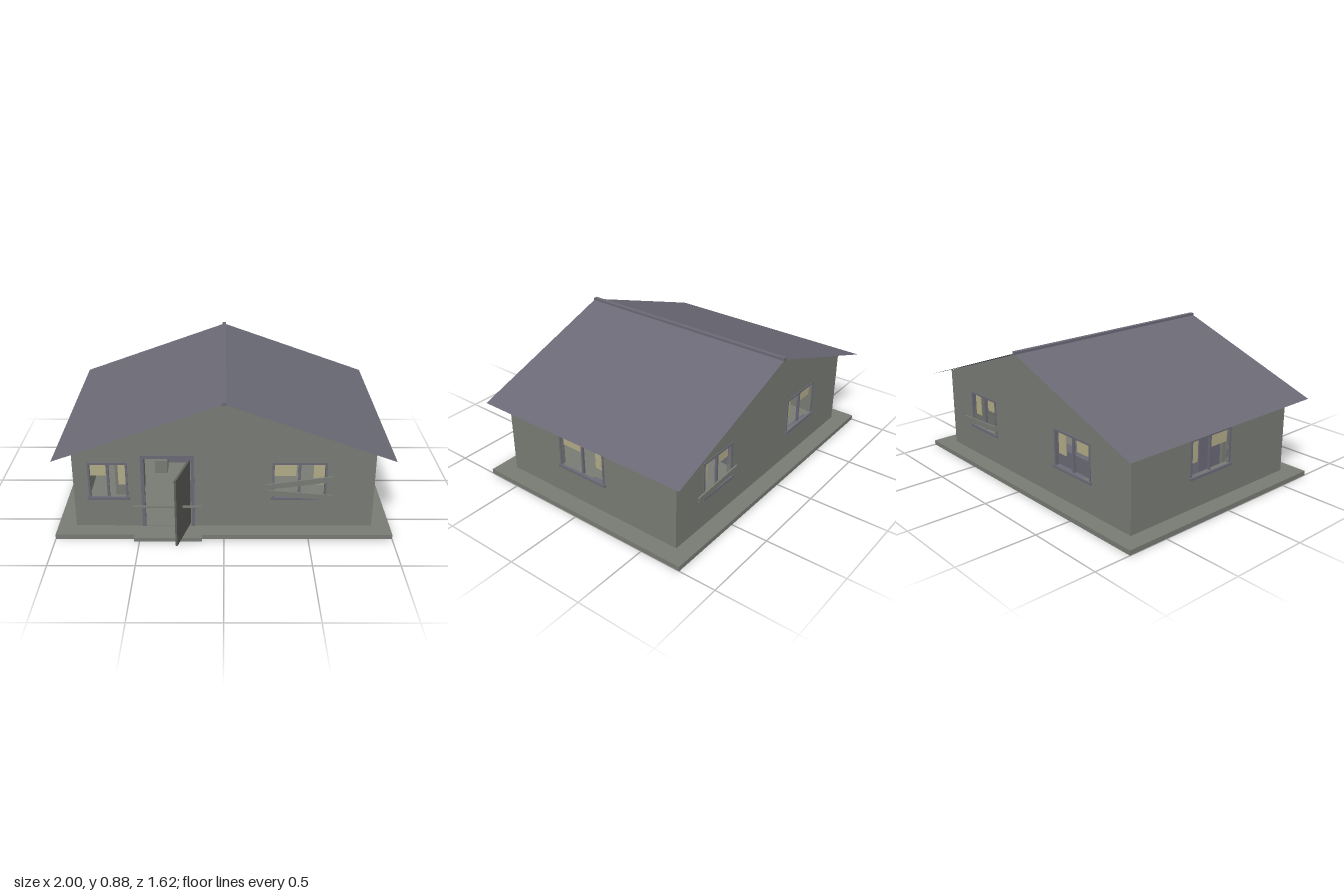
import * as THREE from 'three';

const mat = (name, color, side = THREE.FrontSide) => {
  const m = new THREE.MeshStandardMaterial({ color, side });
  m.name = name;
  return m;
};

export function createModel() {
  const model = new THREE.Group();
  model.name = 'house';
  const wall = mat('grey plaster', 0x777b73);
  const slate = mat('slate blue', 0x6a6975, THREE.DoubleSide);
  const tan = mat('faded tan', 0xb0aa86);
  const dark = mat('dark door grey', 0x5c5e58);

  const add = (name, geo, m, parent = model) => {
    const mesh = new THREE.Mesh(geo, m);
    mesh.name = name;
    parent.add(mesh);
    return mesh;
  };
  // box given by its minimum and maximum on each axis
  const box = (name, m, x0, x1, y0, y1, z0, z1, parent = model) => {
    const b = add(name, new THREE.BoxGeometry(x1 - x0, y1 - y0, z1 - z0), m, parent);
    b.position.set((x0 + x1) / 2, (y0 + y1) / 2, (z0 + z1) / 2);
    return b;
  };

  const HX = 0.89, FRONT = 0.62, BACK = -0.66, MID = -0.02, T = 0.025;
  const FLOOR = 0.03, EAVE = 0.544, SILL = 0.23, HEAD = 0.445;

  // foundation and doorstep
  box('foundation', wall, -1, 1, 0, FLOOR, -0.765, 0.725);
  box('doorstep', wall, -0.53, -0.13, 0.01, FLOOR + 0.003, 0.64, 0.765);

  // wall with rectangular openings, drawn facing +z in its own group
  const wallPanel = (name, half, apex, holes, x, z, turn) => {
    const g = new THREE.Group();
    g.name = name;
    g.position.set(x, 0, z);
    g.rotation.y = turn;
    const s = new THREE.Shape();
    s.moveTo(-half, FLOOR).lineTo(half, FLOOR).lineTo(half, EAVE);
    if (apex) s.lineTo(0, apex);
    s.lineTo(-half, EAVE);
    s.closePath();
    for (const [a, b, c, d] of holes) {
      const h = new THREE.Path();
      h.moveTo(a, c).lineTo(a, d).lineTo(b, d).lineTo(b, c);
      h.closePath();
      s.holes.push(h);
    }
    const geo = new THREE.ExtrudeGeometry(s, { depth: T, bevelEnabled: false });
    geo.translate(0, 0, -T);
    add(name + 'Panel', geo, wall, g);
    model.add(g);
    return g;
  };

  // framed window with a mullion, sill and two torn blinds
  const addWindow = (parent, x0, x1, wideLeft) => {
    const g = new THREE.Group();
    g.name = 'window';
    parent.add(g);
    const f = 0.012, w = x1 - x0, c = (x0 + x1) / 2, zb = -T, zf = 0.005;
    box('frameLeft', slate, x0 - f, x0, SILL, HEAD + f, zb, zf, g);
    box('frameRight', slate, x1, x1 + f, SILL, HEAD + f, zb, zf, g);
    box('frameTop', slate, x0, x1, HEAD, HEAD + f, zb, zf, g);
    box('mullion', slate, c - 0.007, c + 0.007, SILL, HEAD, -0.018, -0.004, g);
    box('sill', slate, x0 - 0.02, x1 + 0.02, 0.215, SILL, zb, 0.013, g);
    const blind = (a, b, y) => {
      const l = wideLeft ? x0 + a * w : x1 - b * w;
      box('blind', tan, l, l + (b - a) * w, y, HEAD, -0.026, -0.02, g);
    };
    blind(0, 0.44, 0.36);
    blind(0.78, 1, 0.3);
  };

  const windowWall = (name, half, apex, wins, extra, x, z, turn, wideLeft) => {
    const holes = wins.map(([a, b]) => [a, b, SILL, HEAD]).concat(extra);
    const g = wallPanel(name, half, apex, holes, x, z, turn);
    wins.forEach(([a, b]) => addWindow(g, a, b, wideLeft));
    return g;
  };

  // four walls; the side walls fit between the gable walls
  const APEX = 0.861, sideHalf = (FRONT - BACK) / 2 - T;
  const front = windowWall('frontWall', HX, APEX, [[-0.79, -0.58], [0.297, 0.595]],
    [[-0.47, -0.195, FLOOR + 0.001, 0.485]], 0, FRONT, 0, true);
  const back = windowWall('backWall', HX, APEX, [[-0.633, -0.379], [0.25, 0.55]],
    [], 0, BACK, Math.PI, false);
  windowWall('leftWall', sideHalf, 0, [[-0.215, 0.11]], [], HX, MID, Math.PI / 2, true);
  windowWall('rightWall', sideHalf, 0, [[-0.18, 0.13]], [], -HX, MID, -Math.PI / 2, false);

  // door frame and the half-open door
  box('doorFrameSide', slate, -0.49, -0.47, FLOOR, 0.505, -T, 0.008, front);
  box('doorFrameSide', slate, -0.195, -0.175, FLOOR, 0.505, -T, 0.008, front);
  box('doorFrameTop', slate, -0.47, -0.195, 0.485, 0.505, -T, 0.008, front);
  const hinge = new THREE.Group();
  hinge.name = 'door';
  hinge.position.set(-0.2, 0, -T);
  hinge.rotation.y = 1.31;
  front.add(hinge);
  box('doorLeaf', dark, -0.265, 0, FLOOR + 0.004, 0.46, -0.012, 0, hinge);

  // bar across the doorway
  box('doorBar', wall, -0.53, -0.13, 0.229, 0.24, 0.74, 0.75);

  // planks nailed over two windows
  const plank = (parent, x, y, length, tilt, z) => {
    const p = add('plank', new THREE.BoxGeometry(length, 0.034, 0.01), wall, parent);
    p.position.set(x, y, z);
    p.rotation.z = tilt;
  };
  plank(front, 0.445, 0.333, 0.405, 0.135, 0.02);
  plank(front, 0.445, 0.252, 0.405, -0.09, 0.02);
  plank(back, -0.527, 0.27, 0.37, 0.06, 0.02);

  // roof sheets and ridge cap
  const RX = 0.99, TOP = 0.866, LOW = 0.511;
  for (const s of [-1, 1]) {
    const geo = new THREE.PlaneGeometry(Math.hypot(RX, TOP - LOW), 1.47);
    geo.rotateX(-Math.PI / 2);
    const roof = add('roofSlope', geo, slate);
    roof.position.set(s * RX / 2, (TOP + LOW) / 2, MID);
    roof.rotation.z = -s * Math.atan((TOP - LOW) / RX);
  }
  box('ridgeCap', slate, -0.013, 0.013, 0.858, 0.877, -0.755, 0.715);

  // furniture seen through the openings
  box('sofaSeat', slate, -0.43, 0.05, FLOOR, 0.16, -0.42, -0.2);
  box('sofaBack', slate, -0.41, 0.05, FLOOR, 0.235, -0.5, -0.42);
  box('crate', wall, -0.47, -0.385, FLOOR, 0.12, -0.15, -0.05);
  box('cabinet', slate, -0.66, -0.52, FLOOR, 0.37, 0.11, 0.3);
  box('cabinetCrate', wall, -0.68, -0.54, FLOOR, 0.31, 0.3, 0.36);

  return model;
}
